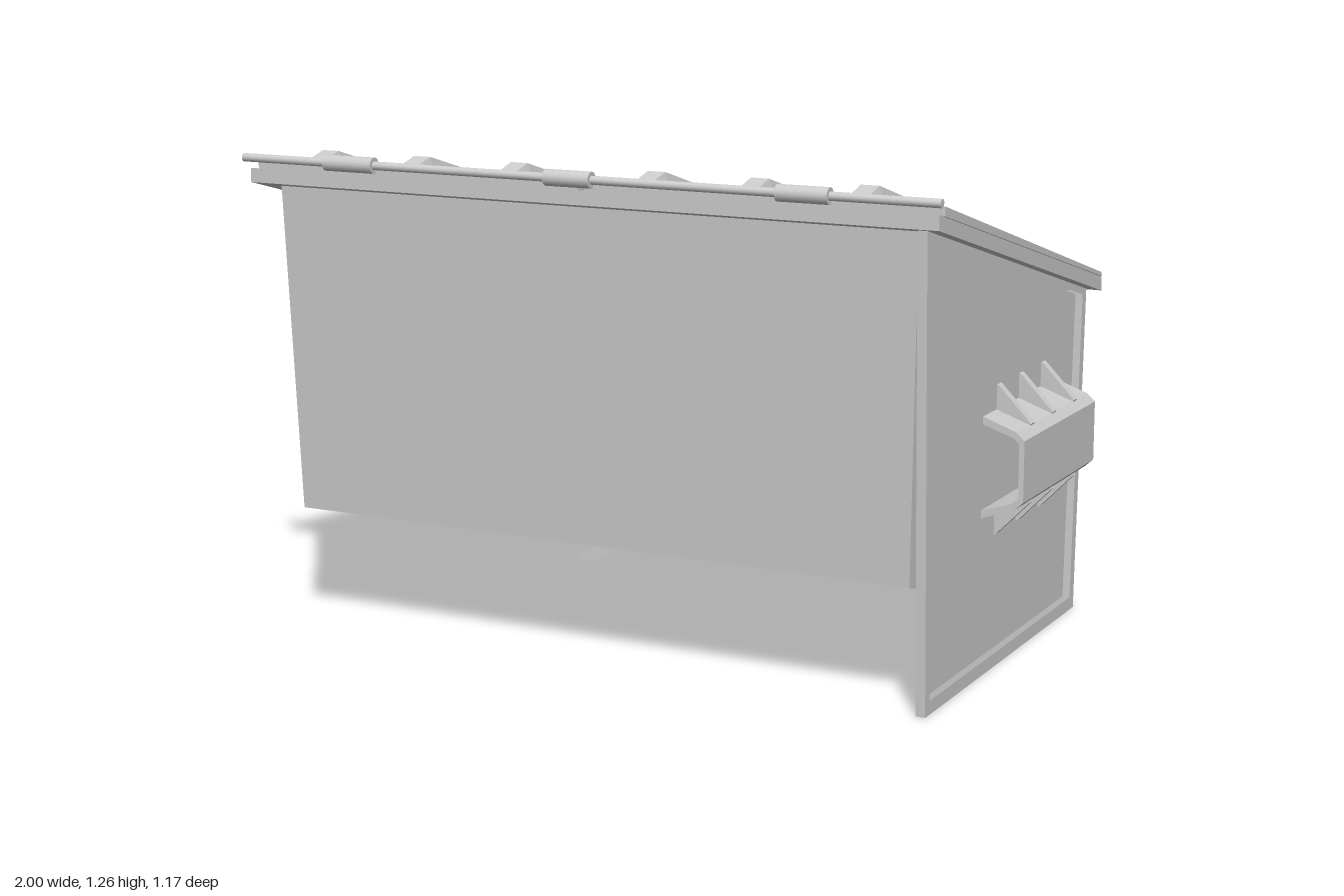
import * as THREE from 'three';

const material = new THREE.MeshStandardMaterial({ color: 0xcccccc, flatShading: true });
const sheetMaterial = new THREE.MeshStandardMaterial({ color: 0xcccccc, flatShading: true, side: THREE.DoubleSide });
const smoothMaterial = new THREE.MeshStandardMaterial({ color: 0xcccccc });

const mesh = (name, geometry, mat = material) => {
  const m = new THREE.Mesh(geometry, mat);
  m.name = name;
  return m;
};

const makeShape = (points, holes = []) => {
  const shape = new THREE.Shape(points.map(([x, y]) => new THREE.Vector2(x, y)));
  holes.forEach((h) => shape.holes.push(new THREE.Path(h.map(([x, y]) => new THREE.Vector2(x, y)))));
  return shape;
};

// Extrude an [x, y] outline along z
const sweepZ = (points, z0, z1, holes) =>
  new THREE.ExtrudeGeometry(makeShape(points, holes), { depth: z1 - z0, bevelEnabled: false }).translate(0, 0, z0);

// Extrude a [z, y] outline along x
const sweepX = (points, x0, x1, holes = []) => {
  const flip = (list) => list.map(([z, y]) => [-z, y]);
  return sweepZ(flip(points), x0, x1, holes.map(flip)).rotateY(Math.PI / 2);
};

const rect = (x0, y0, x1, y1) => [[x0, y0], [x1, y0], [x1, y1], [x0, y1]];

// Rectangle with clipped corners
const clipped = (x0, y0, x1, y1, c) => [
  [x0 + c, y0], [x1 - c, y0], [x1, y0 + c], [x1, y1 - c],
  [x1 - c, y1], [x0 + c, y1], [x0, y1 - c], [x0, y0 + c],
];

// Loft quads between consecutive cross-sections
const loft = (sections) => {
  const pos = [], index = [], n = sections[0].length;
  sections.forEach((s) => s.forEach((p) => pos.push(...p)));
  for (let i = 0; i < sections.length - 1; i++) {
    for (let j = 0; j < n - 1; j++) {
      const a = i * n + j, b = a + 1, c = a + n, d = c + 1;
      index.push(a, c, b, b, c, d);
    }
  }
  const g = new THREE.BufferGeometry();
  g.setAttribute('position', new THREE.Float32BufferAttribute(pos, 3));
  g.setIndex(index);
  const flat = g.toNonIndexed();
  flat.computeVertexNormals();
  return flat;
};

// Height of the sloping rim top at depth z
const rimY = (z) => 1.06 + 0.268 * z;

// Open-bottomed tub: front and side walls end on a rising line
function createTub() {
  const leftX = (y) => -0.865 - 0.022 * y;
  const rightX = (y) => 0.85 + 0.026 * y;
  const corner = (x, y, z) => [x(y), y, z];
  const ring = (fy, fz, by, bz) => [
    corner(leftX, fy, fz), corner(rightX, fy, fz),
    corner(rightX, by, bz), corner(leftX, by, bz), corner(leftX, fy, fz),
  ];
  return mesh('tubWalls', loft([ring(1.19, 0.55, 0.89, -0.525), ring(0.31, 0.515, 0.02, -0.488)]), sheetMaterial);
}

// Framed side panel
function createSidePanel() {
  const g = new THREE.Group();
  g.name = 'sidePanel';
  const outer = [[0.53, 0], [0.57, 1.19], [-0.565, 0.885], [-0.53, 0]];
  const inner = [[0.505, 0.035], [0.54, 1.145], [-0.537, 0.86], [-0.5, 0.035]];
  g.add(mesh('sidePanelFrame', sweepX(outer, 0.885, 0.91, [inner])));
  g.add(mesh('sidePanelSheet', sweepX(inner, 0.88, 0.89)));
  return g;
}

// Framed, slightly tilted back panel with two pressed grooves
function createBackPanel() {
  const g = new THREE.Group();
  g.name = 'backPanel';
  const inner = rect(-0.905, 0.035, 0.885, 0.85);
  const grooves = [[0.24, 0.33], [0.41, 0.505]].map(([y0, y1]) => clipped(-0.755, y0, 0.735, y1, 0.02));
  g.add(mesh('backFrame', sweepZ(rect(-0.93, 0, 0.91, 0.885), 0, 0.022, [inner])));
  g.add(mesh('backSheet', sweepZ(inner, 0.018, 0.032, grooves)));
  grooves.forEach((p) => g.add(mesh('backGroove', sweepZ(p, 0.032, 0.036))));
  g.position.z = -0.53;
  g.rotation.x = -0.04;
  return g;
}

// Sloping rim of four beams
function createRim() {
  const g = new THREE.Group();
  g.name = 'rim';
  const beam = (z0, z1) => [[z0, rimY(z0) - 0.037], [z1, rimY(z1) - 0.037], [z1, rimY(z1)], [z0, rimY(z0)]];
  g.add(mesh('rimLeft', sweepX(beam(-0.585, 0.585), 0.87, 0.945)));
  g.add(mesh('rimRight', sweepX(beam(-0.585, 0.585), -0.96, -0.885)));
  g.add(mesh('rimFront', sweepX(beam(0.505, 0.585), -0.885, 0.87)));
  g.add(mesh('rimBack', sweepX(beam(-0.585, -0.485), -0.885, 0.87)));
  return g;
}

// One lid half with three stiffening ribs
function createLid(name, x0, x1, ribs) {
  const g = new THREE.Group();
  g.name = name;
  const plate = [[-0.588, 0.904], [0.55, 1.209], [0.55, 1.232], [-0.58, 0.917]];
  g.add(mesh('lidPlate', sweepX(plate, x0, x1)));
  const plateY = (z) => 1.0787 + 0.2788 * z - 0.004;
  const profile = [[0.553, 1.232], [0.535, 1.245], [0.48, 1.26], [-0.49, 0.98], [-0.578, 0.913]];
  ribs.forEach((x) => {
    const sections = profile.map(([z, y], i) => {
      const base = i === 4 ? 0.028 : 0.043;
      const top = i === 4 ? 0.012 : 0.024;
      return [[x + base, plateY(z), z], [x + top, y, z], [x - top, y, z], [x - base, plateY(z), z]];
    });
    g.add(mesh('lidRib', loft(sections), sheetMaterial));
  });
  return g;
}

// Hinge rod with three knuckles
function createHinge() {
  const g = new THREE.Group();
  g.name = 'hinge';
  const rod = (label, x0, x1, r) => {
    const geo = new THREE.CylinderGeometry(r, r, x1 - x0, 16).rotateZ(Math.PI / 2);
    g.add(mesh(label, geo.translate((x0 + x1) / 2, 1.239, 0.556), smoothMaterial));
  };
  rod('hingeRod', -1, 0.94, 0.011);
  [[-0.745, -0.6], [-0.1, 0.027], [0.525, 0.66]].forEach(([a, b]) => rod('hingeKnuckle', a, b, 0.021));
  return g;
}

// Lifting pocket: bent channel braced by gussets
function createPocket() {
  const g = new THREE.Group();
  g.name = 'liftPocket';
  const mid = 0.527;
  const upper = [[0.885, 0.658], [0.978, 0.625], [1, 0.605]];
  const upperIn = [[0.885, 0.638], [0.97, 0.61], [0.986, 0.596]];
  const mirror = (list) => list.map(([x, y]) => [x, 2 * mid - y]).reverse();
  g.add(mesh('pocketChannel',
    sweepZ([...upper, ...mirror(upper), ...mirror(upperIn).reverse(), ...upperIn.slice().reverse()], -0.395, 0.135)));
  const gusset = [[0.885, 0.722], [0.895, 0.718], [0.982, 0.628], [0.978, 0.62], [0.885, 0.65]];
  [0.028, -0.13, -0.293].forEach((z) => {
    [gusset, mirror(gusset)].forEach((p) => g.add(mesh('pocketGusset', sweepZ(p, z - 0.013, z + 0.013))));
  });
  return g;
}

export function createModel() {
  const model = new THREE.Group();
  model.name = 'wasteContainer';
  model.add(
    createTub(),
    createSidePanel(),
    createBackPanel(),
    createRim(),
    createLid('rightLid', -0.96, -0.014, [-0.783, -0.505, -0.22]),
    createLid('leftLid', 0.003, 0.945, [0.165, 0.443, 0.728]),
    createHinge(),
    createPocket(),
  );
  return model;
}
